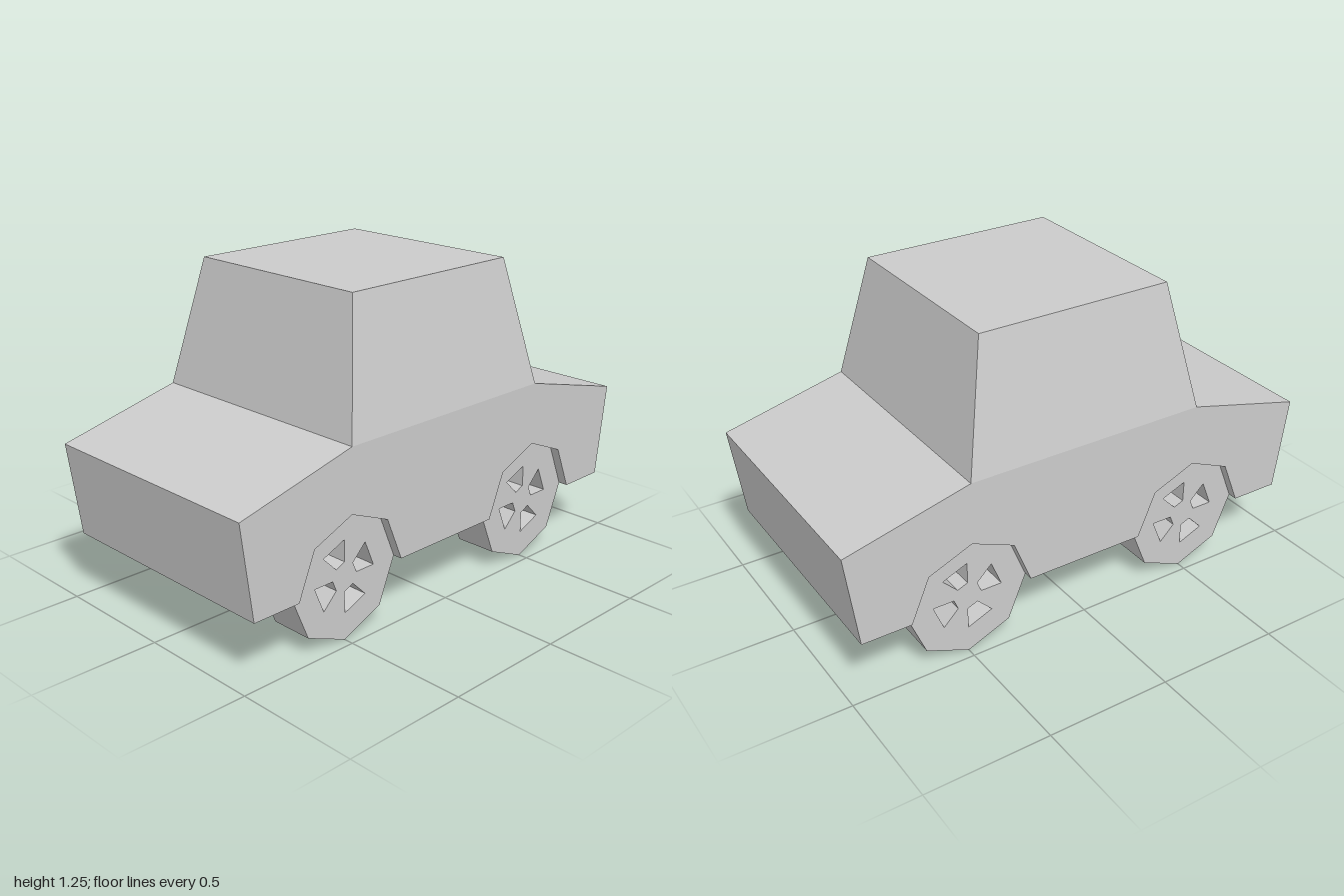
import * as THREE from 'three';

const grey = new THREE.MeshStandardMaterial({ color: 0xcccccc, flatShading: true });
const WHEEL_R = 0.25, AXLES = [-0.5, 0.5];

// Point on an octagon's corner circle; step is counted in eighths of a turn
const corner = (r, step, cx = 0, cy = 0) =>
  new THREE.Vector2(cx + r * Math.cos(step * Math.PI / 4), cy + r * Math.sin(step * Math.PI / 4));

// Extrude a (z, y) side profile along x, centred on x = 0
function sideExtrude(shape, width) {
  return new THREE.ExtrudeGeometry(shape, { depth: width, bevelEnabled: false })
    .translate(0, 0, -width / 2)
    .rotateY(-Math.PI / 2);
}

// Side profile of the lower body, optionally with octagonal wheel arches
function bodyProfile(withArches) {
  const pts = [new THREE.Vector2(-0.95, 0.25)];
  if (withArches) {
    for (const z of AXLES) {
      for (let s = 4; s >= 0; s--) pts.push(corner(WHEEL_R, s, z, 0.25));
    }
  }
  for (const [z, y] of [[0.95, 0.25], [1, 0.625], [0.5, 0.75], [-0.5, 0.75], [-1, 0.625]]) {
    pts.push(new THREE.Vector2(z, y));
  }
  return new THREE.Shape(pts);
}

// Octagonal wheel with four slots cut through it
function wheelGeometry() {
  const shape = new THREE.Shape([0, 1, 2, 3, 4, 5, 6, 7].map(s => corner(WHEEL_R, s)));
  for (let s = 1; s < 8; s += 2) {
    shape.holes.push(new THREE.Path([
      corner(0.144, s), corner(0.144, s + 1), corner(0.058, s + 1), corner(0.058, s),
    ]));
  }
  return sideExtrude(shape, 0.174);
}

export function createModel() {
  const car = new THREE.Group();
  car.name = 'car';
  const add = (name, geometry, x = 0, y = 0, z = 0) => {
    const mesh = new THREE.Mesh(geometry, grey);
    mesh.name = name;
    mesh.position.set(x, y, z);
    car.add(mesh);
    return mesh;
  };

  // Lower body: full-height core between two sides with wheel arches
  add('bodyCore', sideExtrude(bodyProfile(false), 0.5));
  const side = sideExtrude(bodyProfile(true), 0.25);
  add('bodySideLeft', side, 0.375);
  add('bodySideRight', side, -0.375);

  // Cabin: box narrowed towards the roof
  const cabin = new THREE.BoxGeometry(1, 0.5, 1);
  const p = cabin.attributes.position;
  for (let i = 0; i < p.count; i++) {
    if (p.getY(i) > 0) p.setXYZ(i, p.getX(i) * 0.8, p.getY(i), p.getZ(i) * 0.8);
  }
  cabin.computeVertexNormals();
  add('cabin', cabin, 0, 1, 0);

  // Wheels: the right pair is turned half round
  const wheel = wheelGeometry();
  for (const z of AXLES) {
    const end = z > 0 ? 'front' : 'rear';
    add(end + 'WheelLeft', wheel, 0.375, WHEEL_R, z);
    add(end + 'WheelRight', wheel, -0.375, WHEEL_R, z).rotation.y = Math.PI;
  }
  return car;
}
